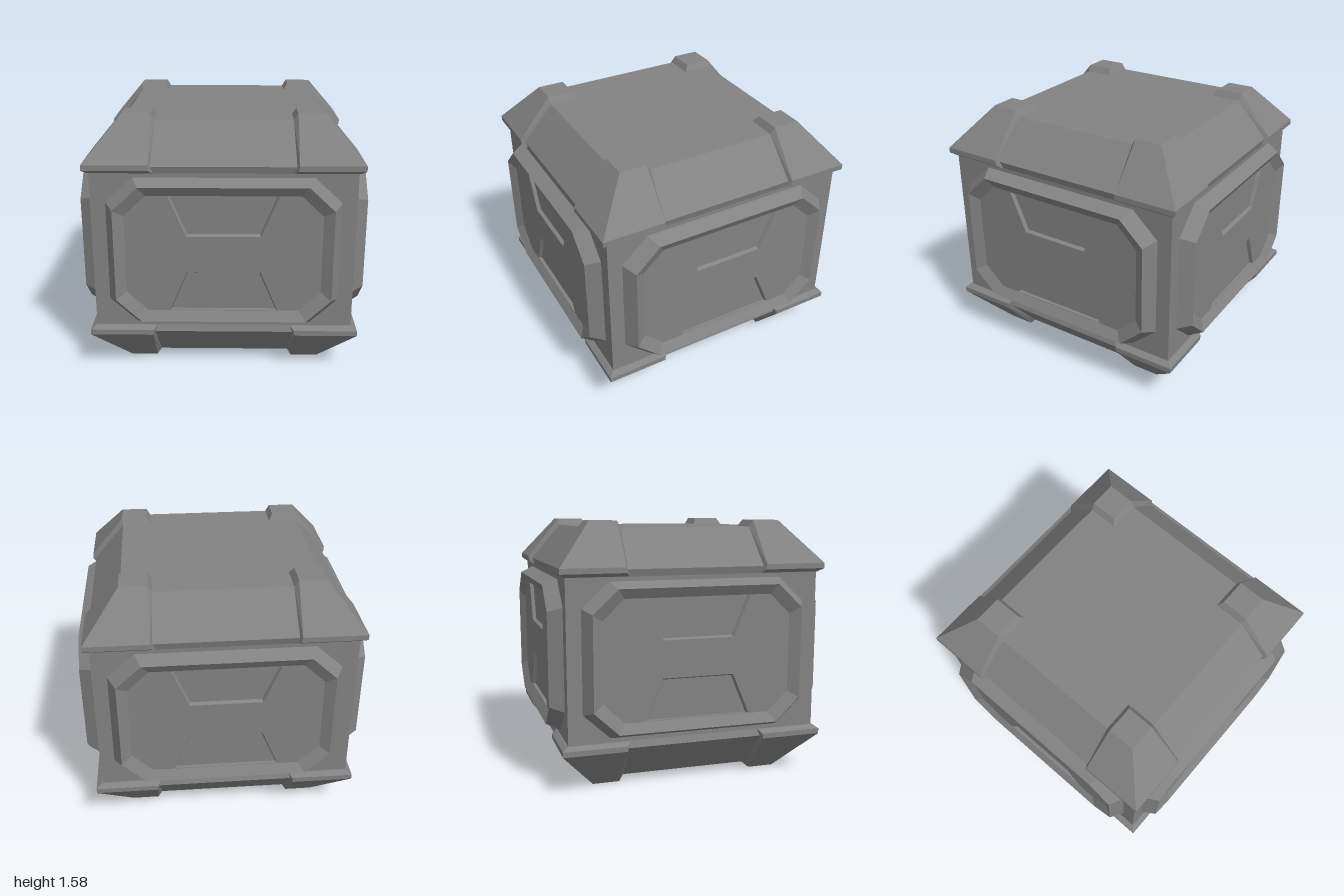
import * as THREE from 'three';
import { ConvexGeometry } from 'three/addons/geometries/ConvexGeometry.js';

const MID = 0.79; // half of the total height
const BODY = 0.773; // half width of the body walls
const PLATE = 0.82; // distance of the sunken panel plates from the centre
const POCKET = 0.798; // distance of the pocket floors from the centre
const material = new THREE.MeshStandardMaterial({ color: 0x828282, flatShading: true });

function add(parent, name, geometry) {
  const mesh = new THREE.Mesh(geometry, material);
  mesh.name = name;
  parent.add(mesh);
  return mesh;
}

// Chamfered rectangle, counter-clockwise, with half sizes w, h and corner cuts cx, cy
const octagon = (w, h, cx, cy) => [
  [w, -h + cy], [w, h - cy], [w - cx, h], [-w + cx, h],
  [-w, h - cy], [-w, -h + cy], [-w + cx, -h], [w - cx, -h],
];

// Trapezoid, counter-clockwise, wide edge at the top
const trapezoid = (wide, narrow, top, bottom) => [
  [narrow, bottom], [wide, top], [-wide, top], [-narrow, bottom],
];

const plateOutline = octagon(0.576, 0.36, 0.128, 0.122);
const pocketRim = trapezoid(0.32, 0.218, 0.357, 0.112);
const pocketFloor = trapezoid(0.31, 0.211, 0.356, 0.122);

const toPoints = (list) => list.map(([x, y]) => new THREE.Vector2(x, y));

// Joins outlines, each at its own depth, with flat bands
function bands(loops) {
  const positions = [];
  for (let k = 0; k < loops.length - 1; k++) {
    const [a, za] = loops[k];
    const [b, zb] = loops[k + 1];
    for (let i = 0; i < a.length; i++) {
      const j = (i + 1) % a.length;
      positions.push(...a[i], za, ...a[j], za, ...b[j], zb);
      positions.push(...a[i], za, ...b[j], zb, ...b[i], zb);
    }
  }
  const geometry = new THREE.BufferGeometry();
  geometry.setAttribute('position', new THREE.Float32BufferAttribute(positions, 3));
  geometry.computeVertexNormals();
  return geometry;
}

// Square body with bevelled top and bottom
function bodyGeometry() {
  const upper = [[BODY, 0.48], [0.785, 0.522], [0.59, 0.75], [0, 0.75]];
  const lower = upper.map(([r, y]) => [r, -y]).reverse();
  const profile = [...lower, ...upper].map(([r, y]) => new THREE.Vector2(r * Math.SQRT2, y));
  return new THREE.LatheGeometry(profile, 4, Math.PI / 4);
}

// Flat plate with two trapezoid openings
function plateGeometry() {
  const shape = new THREE.Shape(toPoints(plateOutline));
  for (const s of [1, -1]) {
    shape.holes.push(new THREE.Path(toPoints(pocketRim.map(([x, y]) => [x * s, y * s]))));
  }
  return new THREE.ShapeGeometry(shape).translate(0, 0, PLATE);
}

// Corner guard: each layer is a square from inner to outer edge at one height
function guardGeometry() {
  const layers = [
    [0.405, 0.78, 0.482], [0.425, 0.809, 0.503], [0.43, 0.809, 0.535],
    [0.405, 0.59, 0.75], [0.43, 0.595, 0.79],
  ];
  const points = [];
  for (const [a, b, y] of layers) {
    for (const x of [a, b]) for (const z of [a, b]) points.push(new THREE.Vector3(x, y, z));
  }
  return new ConvexGeometry(points);
}

export function createModel() {
  const model = new THREE.Group();
  model.name = 'crate';
  const crate = new THREE.Group();
  crate.name = 'crateBody';
  crate.position.y = MID;
  crate.rotation.y = -0.269; // the crate stands turned about its upright axis
  model.add(crate);

  add(crate, 'body', bodyGeometry());

  // Raised frame: outer bevel up to a ridge, shallow inner bevel down to the plate
  const frame = bands([
    [octagon(0.688, 0.457, 0.162, 0.15), BODY - 0.005],
    [octagon(0.637, 0.419, 0.148, 0.14), 0.856],
    [plateOutline, PLATE],
  ]);
  const plate = plateGeometry();
  const pocketWalls = bands([[pocketRim, PLATE], [pocketFloor, POCKET]]);
  const pocketBase = new THREE.ShapeGeometry(new THREE.Shape(toPoints(pocketFloor)))
    .translate(0, 0, POCKET);
  const guard = guardGeometry();

  for (let i = 0; i < 4; i++) {
    // One panel and one upper and lower corner guard per side
    const side = new THREE.Group();
    side.name = 'side' + (i + 1);
    side.rotation.y = (i * Math.PI) / 2;
    crate.add(side);
    add(side, 'panelFrame', frame);
    add(side, 'panelPlate', plate);
    for (const [name, turn] of [['upperPocket', 0], ['lowerPocket', Math.PI]]) {
      const pocket = new THREE.Group();
      pocket.name = name;
      pocket.rotation.z = turn;
      side.add(pocket);
      add(pocket, 'pocketWalls', pocketWalls);
      add(pocket, 'pocketFloor', pocketBase);
    }
    add(side, 'upperCornerGuard', guard);
    // Half a turn about the diagonal keeps the corner and flips it upside down
    add(side, 'lowerCornerGuard', guard).quaternion.setFromAxisAngle(
      new THREE.Vector3(1, 0, 1).normalize(), Math.PI);
  }
  return model;
}
